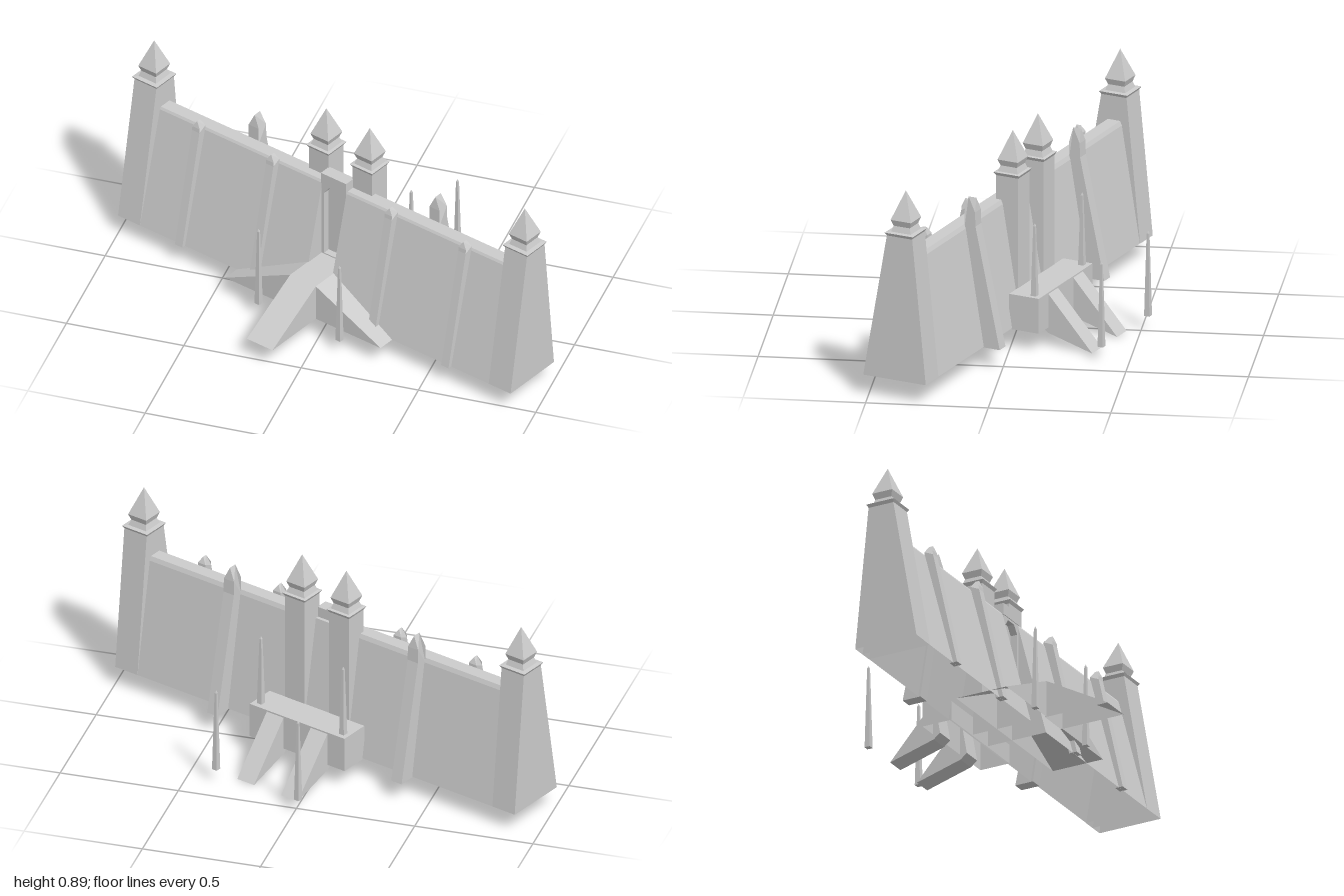
import * as THREE from 'three';

const material = new THREE.MeshStandardMaterial({ color: 0xcccccc, flatShading: true, side: THREE.DoubleSide });

function add(parent, name, geometry, x = 0, y = 0, z = 0) {
  const mesh = new THREE.Mesh(geometry, material);
  mesh.name = name;
  mesh.position.set(x, y, z);
  parent.add(mesh);
  return mesh;
}

const toShape = (points) => new THREE.Shape(points.map(([a, b]) => new THREE.Vector2(a, b)));

// Extrude a [z, y] profile along x, centred on x = 0
function profile(points, width) {
  return new THREE.ExtrudeGeometry(toShape(points), { depth: width, bevelEnabled: false })
    .translate(0, 0, -width / 2)
    .rotateY(-Math.PI / 2);
}

// Leave out the faces that lie flat on the lowest level
function openBottom(source) {
  const geometry = source.index ? source.toNonIndexed() : source;
  geometry.computeBoundingBox();
  const level = geometry.boundingBox.min.y + 1e-4;
  const position = geometry.attributes.position;
  const kept = [];
  for (let i = 0; i < position.count; i += 3) {
    if ([0, 1, 2].some((k) => position.getY(i + k) > level)) kept.push(i, i + 1, i + 2);
  }
  geometry.clearGroups();
  geometry.setIndex(kept);
  return geometry;
}

// Pinch everything above a height to the centre line, making a gabled top
function gable(geometry, height) {
  const position = geometry.attributes.position;
  for (let i = 0; i < position.count; i++) {
    if (position.getY(i) > height) position.setX(i, 0);
  }
  geometry.computeVertexNormals();
  return geometry;
}

// Square turned section from [half width, height] pairs
function square(points) {
  return new THREE.LatheGeometry(points.map(([h, y]) => new THREE.Vector2(h * Math.SQRT2, y)), 4)
    .rotateY(Math.PI / 4);
}

// Slab capital with a waisted neck and pyramid roof
function spire(parent, x, z, slab) {
  add(parent, 'towerSpire', square([
    [0, 0.7], [slab - 0.008, 0.7], [slab, 0.714], [0.045, 0.716],
    [0.037, 0.74], [0.046, 0.766], [0, 0.886],
  ]), x, 0, z);
}

export function createModel() {
  const model = new THREE.Group();
  model.name = 'fortifiedGate';
  const fort = new THREE.Group();
  fort.name = 'gateWall';
  fort.rotation.y = THREE.MathUtils.degToRad(-20);
  fort.position.set(0.012, 0, 0.004);
  model.add(fort);

  const wallProfile = [
    [0.182, 0.085], [0.052, 0.588], [0.046, 0.598],
    [-0.01, 0.598], [-0.018, 0.58], [-0.1, 0.085],
  ];
  const towerProfile = [[0.183, 0.085], [0.075, 0.705], [-0.039, 0.705], [-0.101, 0.085]];

  for (const side of [-1, 1]) {
    // Sloping curtain wall and end tower, hollow below
    add(fort, 'curtainWall', openBottom(profile(wallProfile, 0.89)), side * 0.508);
    add(fort, 'endTower', openBottom(profile(towerProfile, 0.113)), side * 0.955);
    spire(fort, side * 0.955, 0.018, 0.064);

    // Gate tower standing at the rear platform
    add(fort, 'gateTower', new THREE.BoxGeometry(0.1, 0.5, 0.1), side * 0.112, 0.455, -0.038);
    spire(fort, side * 0.112, -0.038, 0.058);

    // Narrow front buttresses with gabled tops
    for (const x of [0.305, 0.686]) {
      add(fort, 'frontButtress', gable(profile([
        [0.2, 0.086], [0.088, 0.59], [0.086, 0.608], [0.078, 0.636],
        [0.06, 0.636], [0.048, 0.608], [0.048, 0.57], [0.165, 0.086],
      ], 0.038), 0.63), side * x);
    }

    // Tall rear buttress with a gabled top
    add(fort, 'rearButtress', gable(profile([
      [-0.09, 0.082], [-0.172, 0.082], [-0.062, 0.595], [-0.06, 0.655],
      [-0.053, 0.71], [-0.018, 0.71], [-0.012, 0.655], [-0.012, 0.58],
    ], 0.052), 0.7), side * 0.466);

    // Rear ramp
    add(fort, 'rearRamp', profile([
      [-0.215, 0.23], [-0.42, 0], [-0.218, 0.057], [-0.188, 0.08],
    ], 0.085), side * 0.111);
  }

  // Gate panel, chamfered door frame and lintel
  add(fort, 'gatePanel', openBottom(profile([
    [0.025, 0.085], [0.025, 0.595], [-0.012, 0.595], [-0.1, 0.085],
  ], 0.126)));
  const frame = toShape([[-0.063, 0.245], [0.063, 0.245], [0.063, 0.595], [-0.063, 0.595]]);
  frame.holes.push(toShape([[-0.05, 0.25], [-0.05, 0.545], [-0.025, 0.58], [0.025, 0.58], [0.05, 0.545], [0.05, 0.25]]));
  add(fort, 'doorFrame', new THREE.ExtrudeGeometry(frame, { depth: 0.03, bevelEnabled: false }), 0, 0, 0.025);
  add(fort, 'gateLintel', new THREE.BoxGeometry(0.13, 0.05, 0.055), 0, 0.615, 0.03);

  // Rear platform
  add(fort, 'rearPlatform', openBottom(new THREE.BoxGeometry(0.48, 0.15, 0.134)), 0, 0.155, -0.154);

  // Front landing sloping down to both sides, and the central ramp
  const landing = toShape([[-0.4, 0.085], [0.4, 0.085], [0.066, 0.245], [-0.066, 0.245]]);
  const landingBody = new THREE.ExtrudeGeometry(landing, { depth: 0.232, bevelEnabled: false });
  add(fort, 'sideRamps', openBottom(landingBody), 0, 0, 0.025);
  add(fort, 'frontRamp', openBottom(profile([
    [0.25, 0.245], [0.257, 0.245], [0.54, 0.085], [0.25, 0.085],
  ], 0.132)));

  // Slender pointed posts: x, z, base height, tip height
  const posts = [
    [-0.015, -0.527, 0.06, 0.425], [0.375, -0.385, 0.06, 0.425],
    [-0.12, -0.245, 0.23, 0.54], [0.272, -0.1, 0.23, 0.54],
    [-0.28, 0.2, 0.06, 0.425], [0.112, 0.343, 0.06, 0.425],
  ];
  for (const [x, z, base, tip] of posts) {
    const post = add(model, 'pointedPost', square([
      [0, base], [0.012, base], [0.0045, tip - 0.012], [0, tip],
    ]), x, 0, z);
    post.rotation.y = fort.rotation.y;
  }

  return model;
}
